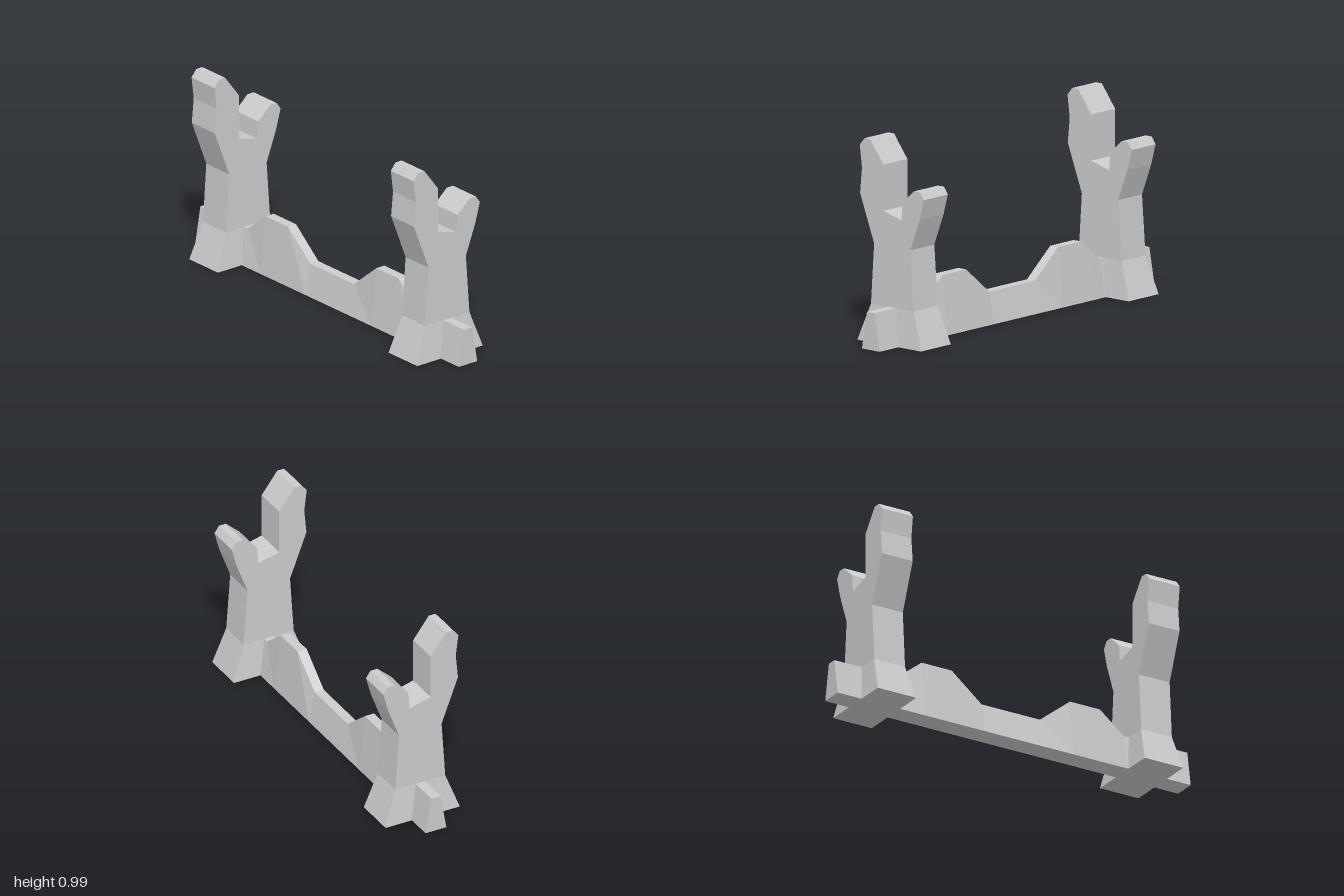
import * as THREE from 'three';

const material = new THREE.MeshStandardMaterial({ color: 0xcccccc, flatShading: true });

// Closed flat-faced solid through four-cornered rings, counter-clockwise seen from the last ring
function loft(rings) {
  const pos = [];
  const quad = (a, b, c, d) => pos.push(...a, ...b, ...c, ...a, ...c, ...d);
  for (let i = 0; i < rings.length - 1; i++) {
    for (let j = 0; j < 4; j++) {
      const k = (j + 1) % 4;
      quad(rings[i][j], rings[i][k], rings[i + 1][k], rings[i + 1][j]);
    }
  }
  quad(...[...rings[0]].reverse());
  quad(...rings[rings.length - 1]);
  const geometry = new THREE.BufferGeometry();
  geometry.setAttribute('position', new THREE.Float32BufferAttribute(pos, 3));
  geometry.computeVertexNormals();
  return geometry;
}

function addMesh(parent, name, geometry) {
  const mesh = new THREE.Mesh(geometry, material);
  mesh.name = name;
  parent.add(mesh);
}

// Side profile of the forked post: z, y
const forkProfile = [
  [0.135, 0.185], [0.115, 0.483], [0.205, 0.72], [0.193, 0.845], [0.207, 0.957],
  [0.177, 0.993], [0.14, 0.993], [0.055, 0.88], [0.055, 0.652], [-0.06, 0.622],
  [-0.067, 0.71], [-0.142, 0.777], [-0.18, 0.777], [-0.205, 0.742],
  [-0.177, 0.64], [-0.118, 0.483], [-0.14, 0.185],
];
const postWidth = 0.174;

function createPost() {
  const post = new THREE.Group();

  // Forked upright with a tall front prong and a short back prong
  const shape = new THREE.Shape(forkProfile.map(([z, y]) => new THREE.Vector2(z, y)));
  const fork = new THREE.ExtrudeGeometry(shape, { depth: postWidth, bevelEnabled: false });
  fork.translate(0, 0, -postWidth / 2).rotateY(-Math.PI / 2);
  addMesh(post, 'forkedUpright', fork);

  // Flared foot
  const ring = (y, x, front, back) =>
    [[-x, y, front], [x, y, front], [x, y, back], [-x, y, back]];
  addMesh(post, 'flaredFoot', loft([
    ring(0, 0.109, 0.203, -0.205),
    ring(0.185, postWidth / 2, 0.135, -0.14),
  ]));
  return post;
}

export function createModel() {
  const model = new THREE.Group();
  model.name = 'forkedRack';

  // Two matching posts
  for (const [name, x] of [['rightPost', -0.756], ['leftPost', 0.756]]) {
    const post = createPost();
    post.name = name;
    post.position.x = x;
    model.add(post);
  }

  // Tapered base rail with two humps, its ends standing out past the posts: x, height
  const half = [[0.165, 0.155], [0.335, 0.293], [0.505, 0.293], [0.64, 0.185], [1, 0.185]];
  const stations = [...half.map(([x, h]) => [-x, h]).reverse(), ...half];
  addMesh(model, 'baseRail', loft(stations.map(([x, h]) =>
    [[x, 0, 0.055], [x, 0, -0.06], [x, h, -0.027], [x, h, 0.023]])));

  return model;
}
